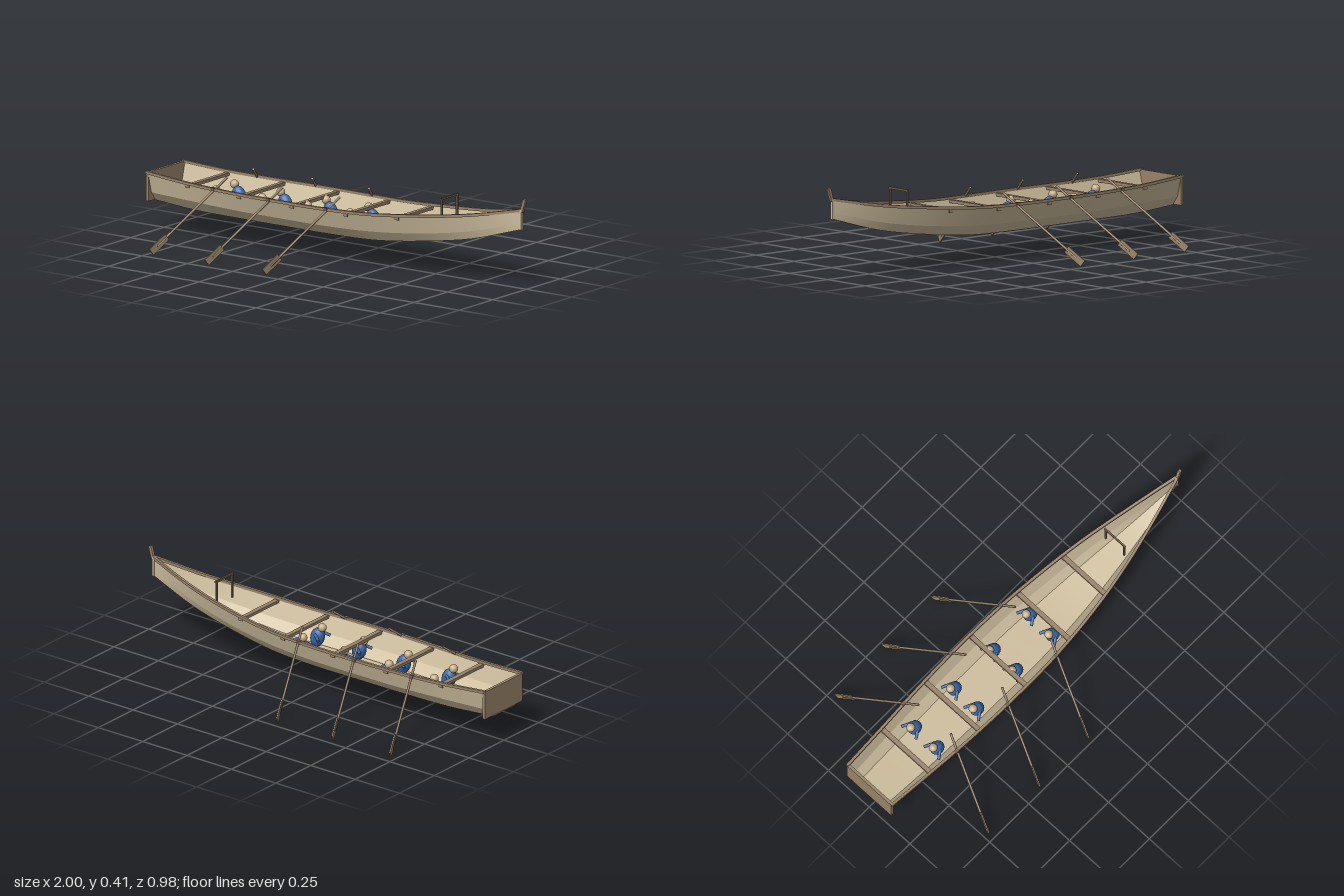
import * as THREE from 'three';

const paint = (color) => new THREE.MeshStandardMaterial({ color, side: THREE.DoubleSide });
const V = (x, y, z) => new THREE.Vector3(x, y, z);

// Evenly spaced hull stations from stern to bow: height and half width of each line
const X0 = -1, X1 = 0.97;
const line = (ys, zs) =>
  new THREE.CatmullRomCurve3(ys.map((y, i) => V(X0 + ((X1 - X0) * i) / 8, y, zs[i])), false, 'catmullrom', 0.5);
const sheer = line([.28, .265, .26, .26, .26, .265, .285, .313, .358], [.137, .153, .168, .175, .172, .153, .119, .067, .005]);
const chine = line([.185, .18, .175, .175, .175, .18, .20, .237, .30], [.112, .128, .138, .142, .14, .122, .092, .05, .004]);
const keel = line([.145, .131, .13, .13, .13, .134, .16, .2, .27], [.08, .09, .098, .1, .1, .087, .065, .035, .003]);
const tAt = (x) => (x - X0) / (X1 - X0);

// Ruled surface between two functions of t
function strip(a, b, t0 = 0, t1 = 1, n = 40) {
  const pos = [], idx = [];
  for (let i = 0; i <= n; i++) {
    const t = t0 + ((t1 - t0) * i) / n;
    pos.push(...a(t).toArray(), ...b(t).toArray());
    const k = 2 * i;
    if (i < n) idx.push(k, k + 2, k + 1, k + 1, k + 2, k + 3);
  }
  const g = new THREE.BufferGeometry();
  g.setAttribute('position', new THREE.Float32BufferAttribute(pos, 3));
  g.setIndex(idx);
  g.computeVertexNormals();
  return g;
}

export function createModel() {
  const model = new THREE.Group();
  const hullMat = paint(0xcfbf9f), woodMat = paint(0x9a846a), darkMat = paint(0x75644f);
  const blueMat = paint(0x3a68a8), skinMat = paint(0xc9b08e);

  const add = (parent, name, geo, mat, x = 0, y = 0, z = 0) => {
    const m = new THREE.Mesh(geo, mat);
    m.name = name;
    m.position.set(x, y, z);
    parent.add(m);
    return m;
  };
  const box = (parent, name, mat, w, h, d, x, y, z) =>
    add(parent, name, new THREE.BoxGeometry(w, h, d), mat, x, y, z);
  const rod = (parent, name, mat, a, b, r, sides = 8) => {
    const dir = b.clone().sub(a);
    const m = add(parent, name, new THREE.CylinderGeometry(r, r, dir.length(), sides), mat);
    m.position.copy(a).add(b).multiplyScalar(0.5);
    m.quaternion.setFromUnitVectors(V(0, 1, 0), dir.normalize());
    return m;
  };
  const on = (curve, side, dy = 0, dz = 0) => (t) => {
    const p = curve.getPoint(t);
    return V(p.x, p.y + dy, side * (p.z + dz));
  };

  // Hull planking and gunwale rails
  const hull = new THREE.Group();
  hull.name = 'hull';
  model.add(hull);
  for (const s of [1, -1]) {
    add(hull, 'upperPlank', strip(on(chine, s), on(sheer, s)), hullMat);
    add(hull, 'lowerPlank', strip(on(keel, s), on(chine, s)), hullMat);
    const corners = [[-.007, -.008], [-.007, .005], [.006, .005], [.006, -.008]];
    corners.forEach((c, i) => {
      const d = corners[(i + 1) % 4];
      add(hull, 'gunwaleRail', strip(on(sheer, s, c[0], c[1]), on(sheer, s, d[0], d[1])), woodMat);
    });
  }
  add(hull, 'bottom', strip(on(keel, 1), on(keel, -1)), hullMat);
  add(hull, 'floorBoards', strip(on(keel, 1, .006, -.004), on(keel, -1, .006, -.004), tAt(-0.89), tAt(0.9)), hullMat);

  // Stern plate, bow stem and stem head
  box(hull, 'transom', woodMat, .014, .132, .27, -.993, .214, 0);
  box(hull, 'stem', hullMat, .012, .092, .015, .97, .315, 0);
  const head = box(hull, 'stemHead', woodMat, .014, .06, .014, .983, .38, 0);
  head.rotation.z = -0.28;

  // Cross benches
  for (const x of [-.76, -.465, -.17, .12, .38]) {
    const p = sheer.getPoint(tAt(x));
    box(model, 'thwart', woodMat, .022, .014, 2 * p.z - .002, x, p.y - .014, 0);
  }

  // Frame near the bow
  const frame = new THREE.Group();
  frame.name = 'bowFrame';
  model.add(frame);
  for (const s of [1, -1]) box(frame, 'post', darkMat, .008, .115, .008, .575, .308, s * .056);
  box(frame, 'crossbar', darkMat, .008, .009, .128, .575, .365, 0);

  // Oars, three on each side
  for (const s of [1, -1]) {
    for (const x of [-.58, -.265, .05]) {
      const wide = sheer.getPoint(tAt(x - .05)).z - .168;
      const a = V(x, .307, s * (.105 + wide)), b = V(x - .145, .016, s * (.472 + wide));
      const oar = new THREE.Group();
      oar.name = 'oar';
      model.add(oar);
      rod(oar, 'shaft', woodMat, a, b.clone().lerp(a, .08), .0055);
      // Blade stands upright along the shaft
      const axis = b.clone().sub(a).normalize();
      const flat = axis.clone().cross(V(0, 1, 0)).normalize();
      const up = flat.clone().cross(axis);
      const blade = box(oar, 'blade', woodMat, .1, .034, .006, 0, 0, 0);
      blade.quaternion.setFromRotationMatrix(new THREE.Matrix4().makeBasis(axis, up, flat));
      blade.position.copy(b).addScaledVector(axis, -.05);
      // Oarlock on the rail
      const lock = sheer.getPoint(tAt(x - .03));
      box(model, 'oarlock', darkMat, .02, .012, .016, x - .03, lock.y + .002, s * lock.z);
    }
  }

  // Rowers in pairs, facing the stern
  for (const x of [-.64, -.385, -.135, .1]) {
    for (const s of [1, -1]) {
      const rower = new THREE.Group();
      rower.name = 'rower';
      rower.position.set(x, 0, s * .069);
      model.add(rower);
      const torso = add(rower, 'torso', new THREE.SphereGeometry(1, 16, 12), blueMat, .004, .182, 0);
      torso.scale.set(.034, .048, .029);
      torso.rotation.z = 0.3;
      add(rower, 'head', new THREE.SphereGeometry(.02, 14, 10), skinMat, -.022, .234, 0);
      for (const k of [1, -1])
        rod(rower, 'arm', blueMat, V(.006, .205, k * .018), V(-.034, .185, k * .044), .007);
    }
  }
  return model;
}
